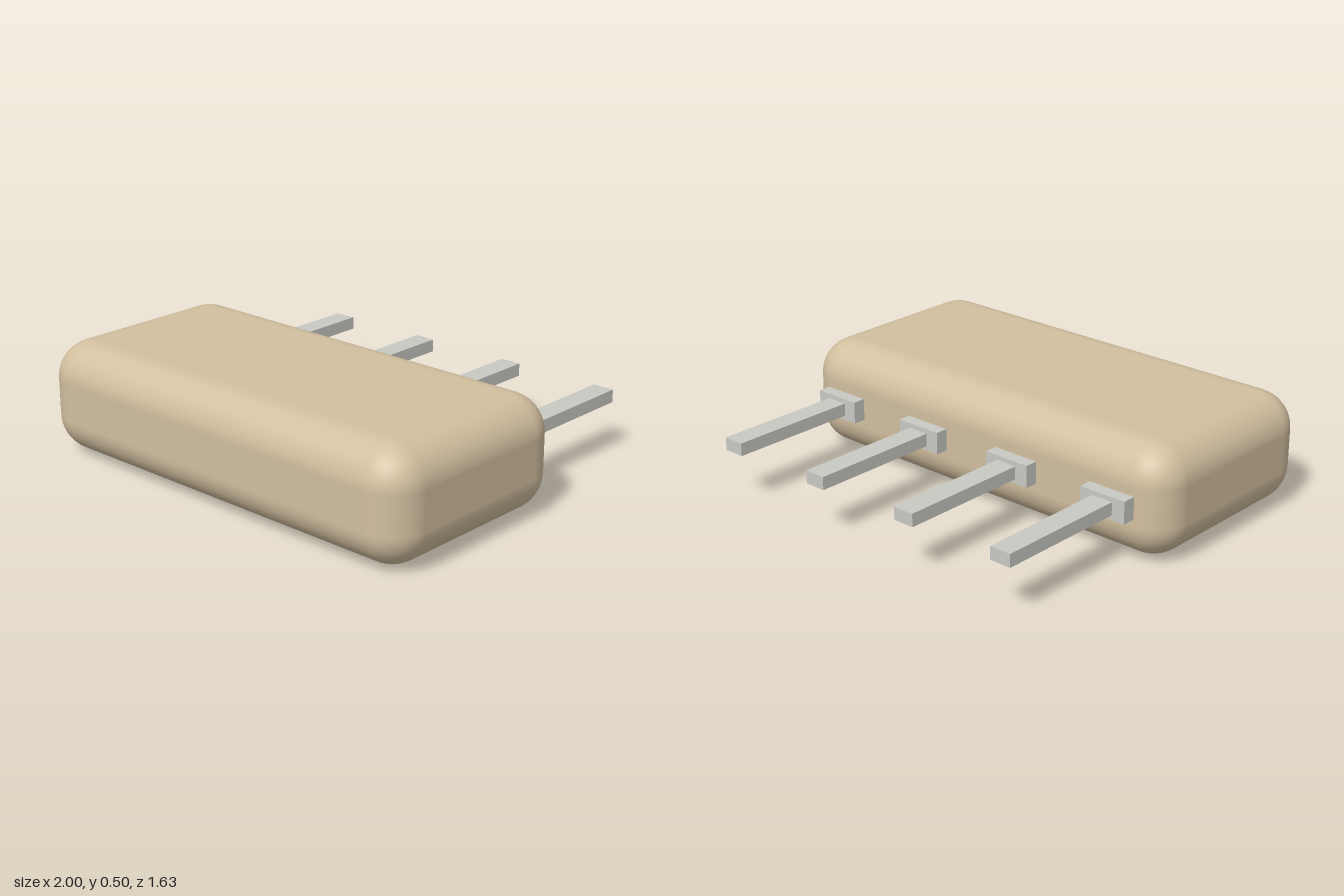
import * as THREE from 'three';
import { RoundedBoxGeometry } from 'three/addons/geometries/RoundedBoxGeometry.js';

const BODY = { w: 2, h: 0.49, d: 0.982, y: 0.253, z: 0.325, r: 0.163 };
const BACK = BODY.z - BODY.d / 2;

function addMesh(parent, name, geometry, material, x, y, z) {
  const mesh = new THREE.Mesh(geometry, material);
  mesh.name = name;
  mesh.position.set(x, y, z);
  parent.add(mesh);
  return mesh;
}

export function createModel() {
  const model = new THREE.Group();
  model.name = 'fourPinComponent';

  const bodyMaterial = new THREE.MeshStandardMaterial({ color: 0xd2bf9f });
  const metalMaterial = new THREE.MeshStandardMaterial({ color: 0xc9c9c4 });
  const dotMaterial = new THREE.MeshStandardMaterial({ color: 0x333333 });

  // Rounded housing
  addMesh(model, 'body', new RoundedBoxGeometry(BODY.w, BODY.h, BODY.d, 8, BODY.r),
    bodyMaterial, 0, BODY.y, BODY.z);

  // Thin round marker under the body, beside the first pin
  addMesh(model, 'orientationDot', new THREE.CylinderGeometry(0.098, 0.098, 0.012, 32),
    dotMaterial, -0.63, 0.006, 0.427);

  // Four straight pins, each with a wider collar at the body
  const collarGeometry = new THREE.BoxGeometry(0.22, 0.098, 0.078);
  const pinGeometry = new THREE.BoxGeometry(0.098, 0.057, 0.615);
  [-0.75, -0.25, 0.25, 0.75].forEach((x, i) => {
    const lead = new THREE.Group();
    lead.name = `lead${i + 1}`;
    lead.position.set(x, BODY.y, BACK);
    addMesh(lead, 'collar', collarGeometry, metalMaterial, 0, 0, -0.019);
    addMesh(lead, 'pin', pinGeometry, metalMaterial, 0, 0, -0.3425);
    model.add(lead);
  });

  return model;
}
